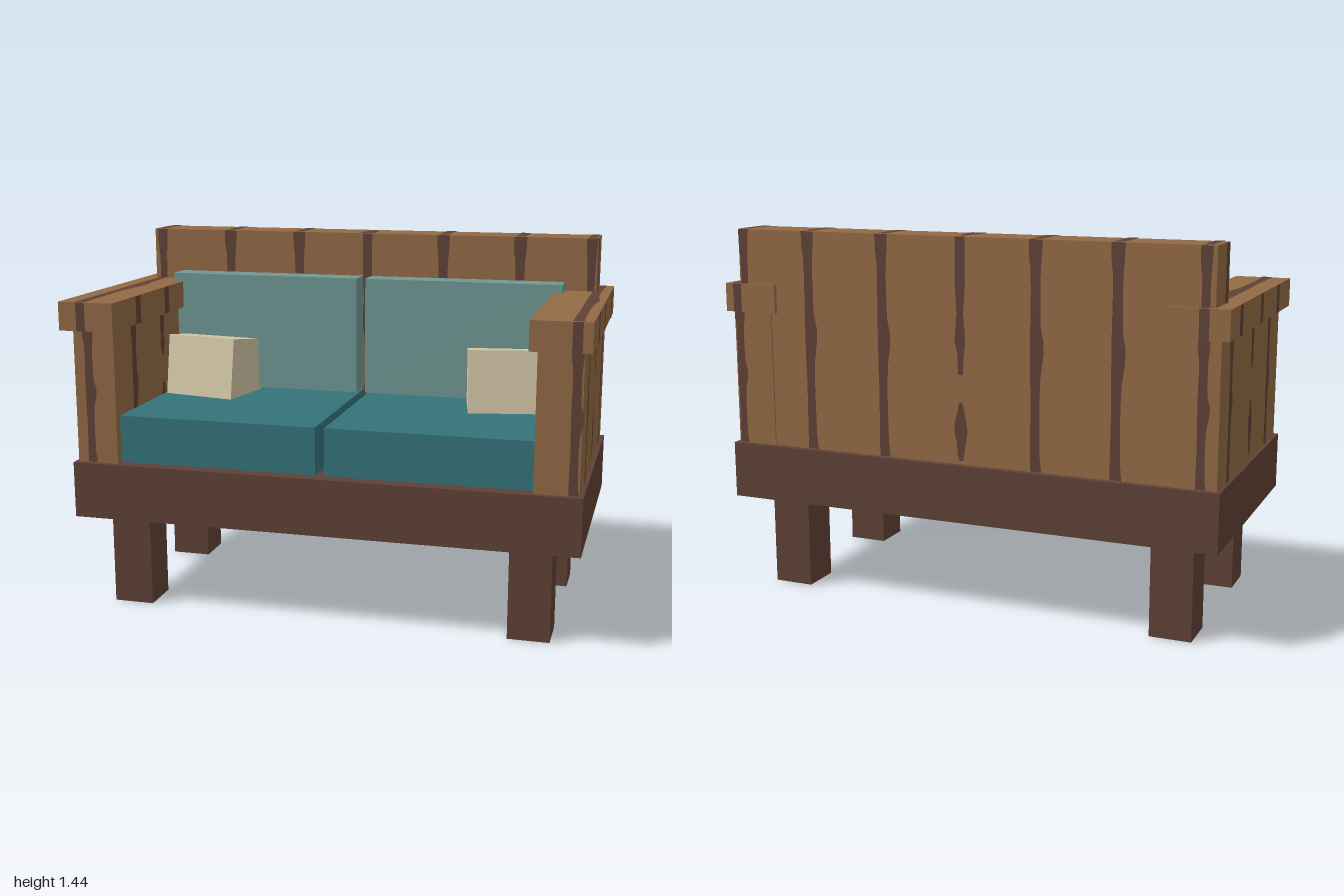
import * as THREE from 'three';

const mat = (name, color) => {
  const m = new THREE.MeshStandardMaterial({ color });
  m.name = name;
  return m;
};

// Grain outlines: [position along the stripe, left half-width, right half-width]
const FULL = [[0, 0.5, 0.6], [0.07, 0.5, 0.45], [0.3, 0.45, 0.4], [0.42, 0.5, 0.5], [0.5, 0.5, 0.75],
  [0.56, 0.5, 0.8], [0.63, 0.5, 0.5], [0.8, 0.45, 0.45], [0.88, 0.5, 0.5], [0.94, 0.65, 0.6], [1, 0.65, 0.65]];
const PLAIN = [[0, 0.5, 0.5], [1, 0.5, 0.5]];
const TAPER = [[0, 0.25, 0.25], [0.15, 0.3, 0.35], [0.25, 0.6, 0.5], [0.45, 0.35, 0.3], [0.65, 0.5, 0.5], [1, 0.5, 0.5]];
const KNOT = [[0, 0.2, 0.2], [0.12, 0.35, 0.3], [0.3, 0.4, 0.45], [0.5, 0.65, 0.65], [0.65, 0.6, 0.55], [0.85, 0.3, 0.35], [1, 0.2, 0.15]];

// Across, along and outward directions of each side
const FACES = {
  front: [[1, 0, 0], [0, 1, 0], [0, 0, 1]],
  back: [[-1, 0, 0], [0, 1, 0], [0, 0, -1]],
  left: [[0, 0, -1], [0, 1, 0], [1, 0, 0]],
  right: [[0, 0, 1], [0, 1, 0], [-1, 0, 0]],
  top: [[1, 0, 0], [0, 0, -1], [0, 1, 0]],
};

export function createModel() {
  const wood = mat('oak wood', 0x936a45);
  const dark = mat('dark wood', 0x5f4136);
  const seatTeal = mat('seat teal', 0x35737b);
  const backTeal = mat('back teal', 0x709994);
  const beige = mat('pillow beige', 0xd4c8a8);

  const sofa = new THREE.Group();
  sofa.name = 'sofa';

  // Box given by its lower and upper limits
  const box = (name, material, [x0, x1], [y0, y1], [z0, z1]) => {
    const mesh = new THREE.Mesh(new THREE.BoxGeometry(x1 - x0, y1 - y0, z1 - z0), material);
    mesh.position.set((x0 + x1) / 2, (y0 + y1) / 2, (z0 + z1) / 2);
    mesh.name = name;
    sofa.add(mesh);
  };

  // Thin grain stripe laid on a face, running from a start point
  const stripe = (face, start, length, width, profile = FULL) => {
    const [u, v, n] = FACES[face].map(a => new THREE.Vector3(...a));
    const outline = [
      ...profile.map(([t, , r]) => new THREE.Vector2(r * width, t * length)),
      ...profile.slice().reverse().map(([t, l]) => new THREE.Vector2(-l * width, t * length)),
    ];
    const mesh = new THREE.Mesh(new THREE.ShapeGeometry(new THREE.Shape(outline)), dark);
    mesh.quaternion.setFromRotationMatrix(new THREE.Matrix4().makeBasis(u, v, n));
    mesh.position.set(...start).addScaledVector(n, 0.002);
    mesh.name = 'grainStripe';
    sofa.add(mesh);
  };

  // Base and legs
  box('base', dark, [-0.985, 0.985], [0.375, 0.595], [-0.51, 0.475]);
  for (const x of [-0.875, 0.715])
    for (const z of [-0.41, 0.215]) box('leg', dark, [x, x + 0.16], [0, 0.375], [z, z + 0.16]);

  // Backrest with grain wrapping front, top and back
  box('backrest', wood, [-0.945, 0.942], [0.595, 1.44], [-0.485, -0.31]);
  for (const x of [-0.91, -0.6, -0.295, 0.32, 0.635, 0.92]) {
    const w = Math.abs(x) > 0.9 ? 0.033 : 0.04;
    stripe('front', [x, 0.597, -0.31], 0.843, w);
    stripe('back', [x, 0.597, -0.485], 0.843, w);
    stripe('top', [x, 1.44, -0.31], 0.175, w, PLAIN);
  }
  for (const [face, z] of [['front', -0.31], ['back', -0.485]]) {
    stripe(face, [0, 0.61, z], 0.22, 0.042, KNOT);
    stripe(face, [0, 0.935, z], 0.505, 0.04, TAPER);
  }
  stripe('top', [0, 1.44, -0.46], 0, 0.03, PLAIN);
  stripe('top', [0, 1.44, -0.31], 0.145, 0.06, [[0, 0.5, 0.5], [0.3, 0.5, 0.5], [0.6, 0.4, 0.4], [1, 0.15, 0.15]]);
  stripe('left', [0.942, 1.23, -0.345], 0.21, 0.036, PLAIN);
  stripe('right', [-0.945, 1.23, -0.345], 0.21, 0.036, PLAIN);

  // Arms with caps
  for (const s of [-1, 1]) {
    const span = (a, b) => (s > 0 ? [a, b] : [-b, -a]);
    box('arm', wood, span(0.805, 0.97), [0.595, 1.12], [-0.49, 0.455]);
    box('armCap', wood, span(0.78, 1), [1.12, 1.23], [-0.5, 0.51]);

    // Lengthwise grain on the cap, carried down both ends
    const x = s > 0 ? 0.947 : -0.91;
    stripe('top', [x, 1.23, 0.51], 1.01, 0.038);
    for (const [face, armZ, capZ] of [['front', 0.455, 0.51], ['back', -0.49, -0.5]]) {
      stripe(face, [x, 0.597, armZ], 0.523, 0.034);
      stripe(face, [x, 1.12, capZ], 0.11, 0.036, PLAIN);
    }

    // Grain on outer and inner sides
    for (const [face, armX, capX] of [[s > 0 ? 'left' : 'right', 0.97, 1], [s > 0 ? 'right' : 'left', 0.805, 0.78]]) {
      for (const z of [0.272, -0.345]) {
        stripe(face, [s * armX, 0.597, z], 0.523, 0.04);
        stripe(face, [s * capX, 1.12, z], 0.11, 0.046, PLAIN);
      }
      stripe(face, [s * armX, 0.62, -0.015], 0.21, 0.045, KNOT);
      stripe(face, [s * armX, 0.95, -0.015], 0.17, 0.04, TAPER);
      stripe(face, [s * capX, 1.12, -0.015], 0.11, 0.045, PLAIN);
    }

    // Cushions, with a narrow gap between the halves
    box('seatCushion', seatTeal, span(0.018, 0.81), [0.595, 0.78], [-0.305, 0.42]);
    box('backCushion', backTeal, span(0.018, 0.818), [0.79, 1.265], [-0.305, -0.2]);

    // Pillow leaning back and turned outward
    const geo = new THREE.BoxGeometry(0.31, 0.3, 0.25);
    geo.translate(0, -0.15, -0.125);
    const pillow = new THREE.Mesh(geo, beige);
    pillow.name = 'pillow';
    pillow.rotation.set(-0.13, s * 0.19, 0, 'YXZ');
    pillow.position.set(s * 0.637, 1.025, -0.03);
    sofa.add(pillow);
  }

  return sofa;
}
